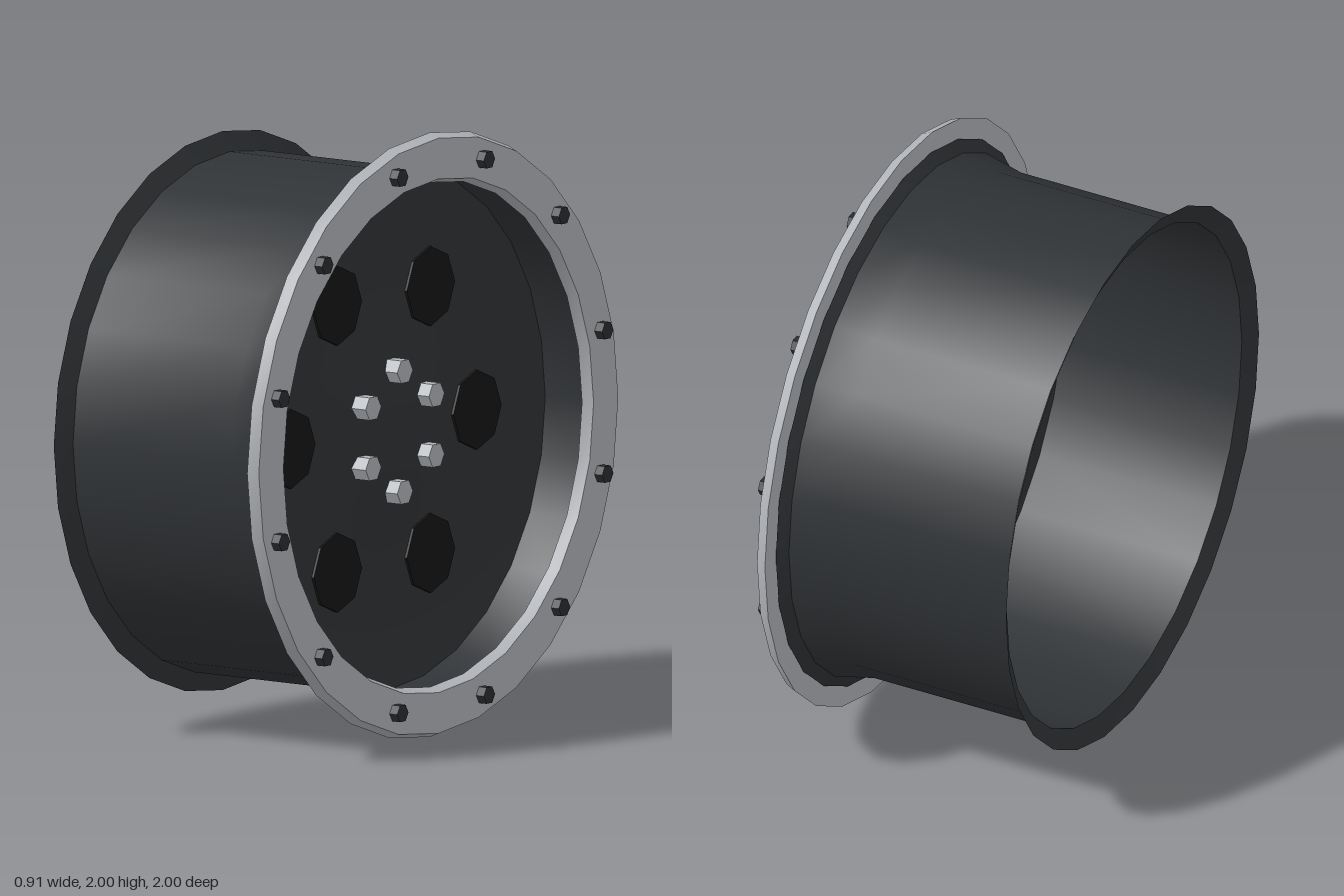
import * as THREE from 'three';
import { toCreasedNormals } from 'three/addons/utils/BufferGeometryUtils.js';

const SIDES = 28;
const paint = (color, side = THREE.FrontSide) => new THREE.MeshStandardMaterial({ color, side });

export function createModel() {
  const wheel = new THREE.Group();
  wheel.name = 'wheelRim';

  const black = paint(0x303336, THREE.DoubleSide);
  const plugBlack = paint(0x151515);
  const boltDark = paint(0x2a2d30);
  const silver = paint(0xb2b5ba);

  function add(name, geometry, material, parent = wheel) {
    const mesh = new THREE.Mesh(geometry, material);
    mesh.name = name;
    parent.add(mesh);
    return mesh;
  }

  // Revolve [axial x, radius] points around the wheel's x axis
  function revolve(profile) {
    const points = profile.map(([x, r]) => new THREE.Vector2(r, x));
    const geometry = new THREE.LatheGeometry(points, SIDES).rotateZ(-Math.PI / 2);
    return toCreasedNormals(geometry, 0.5);
  }

  // Cylinder lying along x between two stations
  function plug(radius, x0, x1, sides) {
    const geometry = new THREE.CylinderGeometry(radius, radius, x1 - x0, sides);
    geometry.rotateZ(-Math.PI / 2).translate((x0 + x1) / 2, 0, 0);
    return toCreasedNormals(geometry, 0.5);
  }

  // Copies of one part spaced evenly around the axle
  function circle(name, count, radius, startAngle, geometry, material) {
    const group = new THREE.Group();
    group.name = name + 's';
    wheel.add(group);
    for (let i = 0; i < count; i++) {
      const a = startAngle + (i * 2 * Math.PI) / count;
      const mesh = add(name, geometry, material, group);
      mesh.position.set(0, radius * Math.sin(a), radius * Math.cos(a));
    }
  }

  // Thin barrel with a flared lip at each end
  add('barrel', revolve([
    [-0.455, 0.925], [-0.425, 0.86], [0.22, 0.86], [0.355, 0.89], [0.383, 0.93],
  ]), black);

  // Thin centre disc: raised hub, shallow dish, edge meeting the barrel
  add('centreDisc', revolve([
    [0.22, 0.86], [0.195, 0.65], [0.195, 0.38], [0.24, 0.2], [0.245, 0],
  ]), black);

  // Clamping ring with bevelled outer and inner edges
  add('outerRing', revolve([
    [0.388, 0.835], [0.388, 1.0], [0.424, 0.985], [0.424, 0.85], [0.388, 0.835],
  ]), silver);

  // Fittings
  circle('ventPlug', 6, 0.51, 0, plug(0.132, 0.184, 0.204, 8), plugBlack);
  circle('lugNut', 6, 0.2, Math.PI / 6, plug(0.043, 0.22, 0.288, 6), silver);
  circle('ringBolt', 12, 0.917, Math.PI / 12, plug(0.031, 0.415, 0.455, 6), boltDark);

  wheel.position.y = 1;
  const model = new THREE.Group();
  model.name = 'wheel';
  model.add(wheel);
  return model;
}
